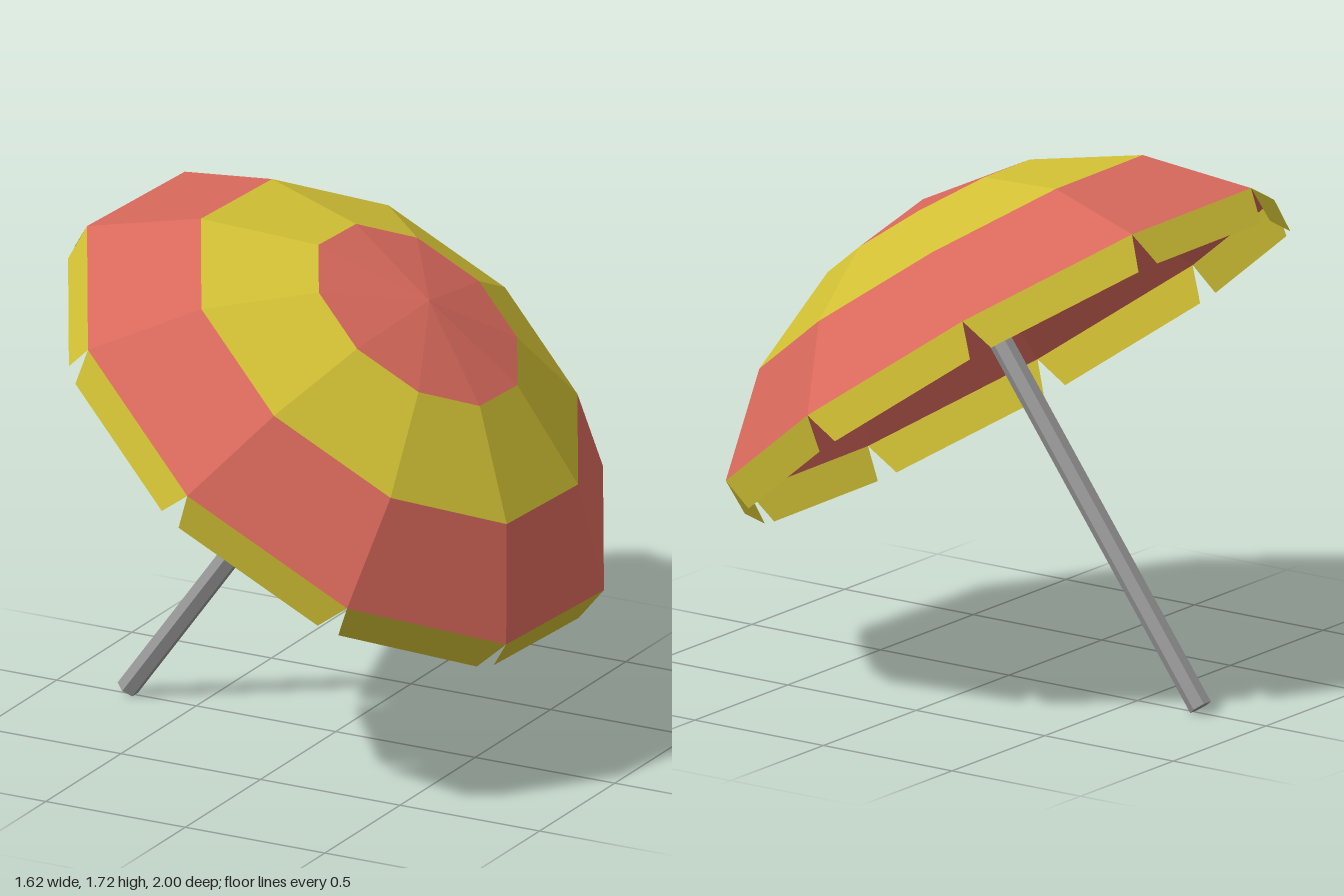
import * as THREE from 'three';

const SIDES = 10;
const TURN = THREE.MathUtils.degToRad(-2); // twist of the canopy about the pole
const STEP = (Math.PI * 2) / SIDES;

function material(color, side = THREE.FrontSide) {
  return new THREE.MeshStandardMaterial({ color, side, flatShading: true });
}

export function createModel() {
  const model = new THREE.Group();
  model.name = 'parasol';

  // Everything is built upright around the rim centre, then leaned over.
  const tilted = new THREE.Group();
  tilted.name = 'tiltedParasol';
  tilted.position.set(0.035, 1.0925, 0);
  tilted.rotation.z = THREE.MathUtils.degToRad(-36);
  model.add(tilted);

  const add = (name, geometry, mat) => {
    const mesh = new THREE.Mesh(geometry, mat);
    mesh.name = name;
    tilted.add(mesh);
    return mesh;
  };

  const red = material(0xd9695c, THREE.DoubleSide);
  const yellow = material(0xd2c134, THREE.DoubleSide);

  // Canopy: three stacked bands of alternating colour, [radius, height] rings
  const rings = [[1, 0], [0.73, 0.268], [0.385, 0.442], [0, 0.51]];
  const bands = [['canopyOuterBand', red], ['canopyMiddleBand', yellow], ['canopyCap', red]];
  bands.forEach(([name, mat], i) => {
    const [r0, y0] = rings[i];
    const [r1, y1] = rings[i + 1];
    const band = new THREE.CylinderGeometry(r1, r0, y1 - y0, SIDES, 1, true, TURN);
    add(name, band.translate(0, (y0 + y1) / 2, 0), mat);
  });

  // Valance: one hanging trapezoid flap on each side of the rim
  const half = Math.sin(STEP / 2);
  const drop = 0.116;
  const inset = 0.04;
  const flap = new THREE.ShapeGeometry(new THREE.Shape([
    new THREE.Vector2(-half, 0),
    new THREE.Vector2(-half + inset, -drop),
    new THREE.Vector2(half - inset, -drop),
    new THREE.Vector2(half, 0),
  ])).translate(0, 0, Math.cos(STEP / 2));
  for (let i = 0; i < SIDES; i++) {
    add('valanceFlap' + (i + 1), flap, yellow).rotation.y = TURN + (i + 0.5) * STEP;
  }

  // Pole: six-sided, from the ground up to just under the cap
  const bottom = -1.327;
  const top = 0.49;
  const pole = new THREE.CylinderGeometry(0.0375, 0.0375, top - bottom, 6);
  add('pole', pole.translate(0, (top + bottom) / 2, 0), material(0x999999));

  return model;
}
